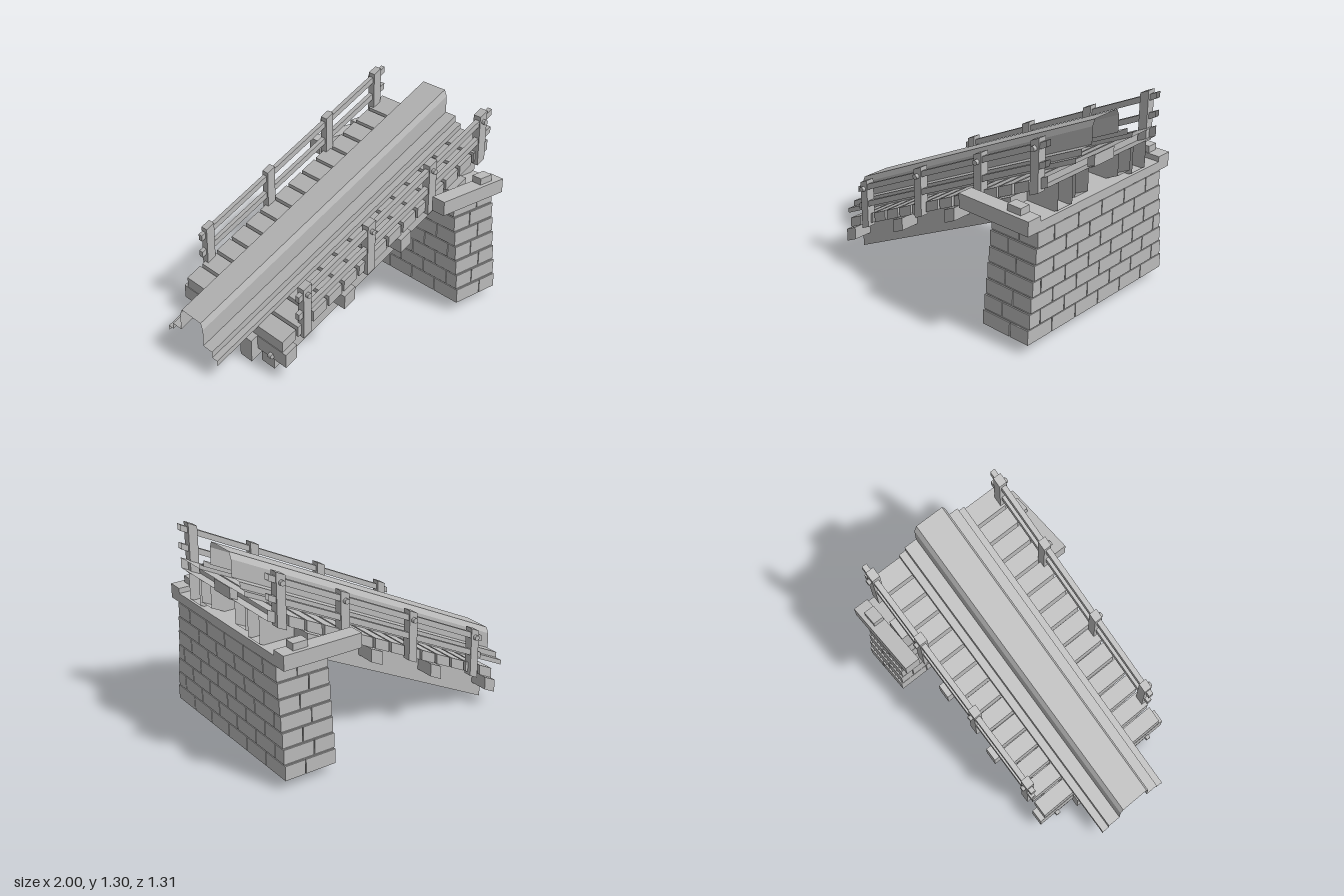
import * as THREE from 'three';

const SLOPE = 0.5;

export function createModel() {
  const model = new THREE.Group();
  model.name = 'bridgeRamp';
  const grey = new THREE.MeshStandardMaterial({ color: 0xbcbcbc, side: THREE.DoubleSide });
  grey.name = 'plain grey';

  function add(name, geometry, parent = model) {
    const mesh = new THREE.Mesh(geometry, grey);
    mesh.name = name;
    parent.add(mesh);
    return mesh;
  }
  function group(name) {
    const g = new THREE.Group();
    g.name = name;
    model.add(g);
    return g;
  }
  function block(name, x0, x1, y0, y1, z0, z1, parent) {
    const geo = new THREE.BoxGeometry(x1 - x0, y1 - y0, z1 - z0);
    geo.translate((x0 + x1) / 2, (y0 + y1) / 2, (z0 + z1) / 2);
    return add(name, geo, parent);
  }
  // Box whose top and bottom follow the ramp; heights are given at x = 0
  function ramp(name, x0, x1, y0, y1, z0, z1, parent, open = false) {
    const mesh = block(name, x0, x1, y0, y1, z0, z1, parent);
    let geo = mesh.geometry;
    const p = geo.attributes.position;
    for (let i = 0; i < p.count; i++) p.setY(i, p.getY(i) + SLOPE * p.getX(i));
    if (open) {
      // leave the upper end hollow
      geo.setIndex(Array.from(geo.index.array).slice(6));
      geo.clearGroups();
    }
    geo = geo.toNonIndexed();
    geo.computeVertexNormals();
    mesh.geometry = geo;
    return mesh;
  }
  function bolt(x, y, z, parent) {
    const geo = new THREE.CylinderGeometry(0.018, 0.018, 0.03, 6);
    geo.rotateX(Math.PI / 2);
    geo.translate(x, y, z);
    add('bolt', geo, parent);
  }

  // Stepped hollow centre channel, open below and at both ends
  const half = [[0.26, 0.585], [0.26, 0.62], [0.21, 0.62], [0.21, 0.66],
    [0.12, 0.66], [0.12, 0.77], [0.1, 0.81]];
  const profile = [...half, ...half.slice().reverse().map(([z, y]) => [-z, y])];
  const verts = [];
  for (let i = 0; i < profile.length - 1; i++) {
    const [za, ya] = profile[i], [zb, yb] = profile[i + 1];
    const a0 = [-1, ya - SLOPE, za], a1 = [1, ya + SLOPE, za];
    const b0 = [-1, yb - SLOPE, zb], b1 = [1, yb + SLOPE, zb];
    verts.push(...a0, ...a1, ...b1, ...a0, ...b1, ...b0);
  }
  const channel = new THREE.BufferGeometry();
  channel.setAttribute('position', new THREE.Float32BufferAttribute(verts, 3));
  channel.computeVertexNormals();
  add('centreChannel', channel);
  ramp('channelPlug', 0.95, 1, 0.51, 0.585, -0.09, 0.09);

  // Deck planks
  const deck = group('deck');
  const count = 14, pitch = 1.69 / count;
  for (let i = 0; i < count; i++) {
    const x = -0.69 + i * pitch;
    const last = i === count - 1;
    ramp('plank', x, x + pitch - (last ? 0 : 0.018), 0.52, 0.588, -0.5, 0.5, deck, last);
  }

  // Cross beams under the deck
  const frame = group('underFrame');
  for (const x of [-0.65, -0.19, 0.27]) {
    ramp('crossBeam', x - 0.042, x + 0.042, 0.43, 0.518, -0.535, 0.535, frame);
  }
  ramp('crossBeam', 0.65, 0.77, 0.43, 0.518, -0.545, 0.545, frame);

  // Stringers and railings, mirrored front to back
  for (const s of [1, -1]) {
    const span = (a, b) => (s > 0 ? [a, b] : [-b, -a]);
    ramp('outerStringer', -0.68, 1, 0.345, 0.52, ...span(0.28, 0.405), frame, true);
    ramp('innerStringer', -0.74, 1, 0.375, 0.52, ...span(0.14, 0.255), frame, true);
    bolt(-0.7, 0.105, s * 0.4, frame);
    bolt(0.2, 0.55, s * 0.41, frame);

    const railing = group(s > 0 ? 'frontRailing' : 'backRailing');
    ramp('topRail', -0.575, 1, 0.765, 0.805, ...span(0.483, 0.518), railing, true);
    ramp('lowerRail', -0.575, 1, 0.645, 0.685, ...span(0.483, 0.518), railing, true);
    for (const x of [-0.515, -0.012, 0.492, 0.922]) {
      ramp('post', x - 0.03, x + 0.03, 0.5, 0.832, ...span(0.468, 0.525), railing);
      bolt(x, 0.78 + SLOPE * x, s * 0.532, railing);
    }
  }

  // Stone pier: a core with courses of bricks in running bond, narrowing upwards
  const pier = group('stonePier');
  const rows = 7, rowHeight = 0.101, gap = 0.006;
  for (let r = 0; r < rows; r++) {
    const y0 = 0.065 + r * rowHeight;
    const w = 0.64 - r * 0.0115;
    block('courseCore', 0.657, 0.993, y0, y0 + rowHeight, -w + 0.008, w - 0.008, pier);
    const joints = [-w];
    const offset = r % 2 ? 0.107 : 0;
    for (let k = -3; k <= 3; k++) {
      const z = k * 0.214 + offset;
      if (Math.abs(z) < w - 0.05) joints.push(z);
    }
    joints.push(w);
    const split = r % 2 ? 0.79 : 0.86;
    for (let k = 0; k < joints.length - 1; k++) {
      const z0 = joints[k] + (k ? gap / 2 : 0);
      const z1 = joints[k + 1] - (k < joints.length - 2 ? gap / 2 : 0);
      const top = y0 + rowHeight - gap;
      block('brick', 0.65, split - gap / 2, y0, top, z0, z1, pier);
      block('brick', split + gap / 2, 1, y0, top, z0, z1, pier);
    }
  }

  // Coping slabs with a small stone on each side
  block('crossCoping', 0.65, 1, 0.77, 0.832, -0.555, 0.555, pier);
  for (const s of [1, -1]) {
    const span = (a, b) => (s > 0 ? [a, b] : [-b, -a]);
    block('sideCoping', 0.47, 1, 0.772, 0.866, ...span(0.55, 0.655), pier);
    block('copingStone', 0.82, 0.92, 0.866, 0.91, ...span(0.555, 0.628), pier);
  }

  return model;
}
